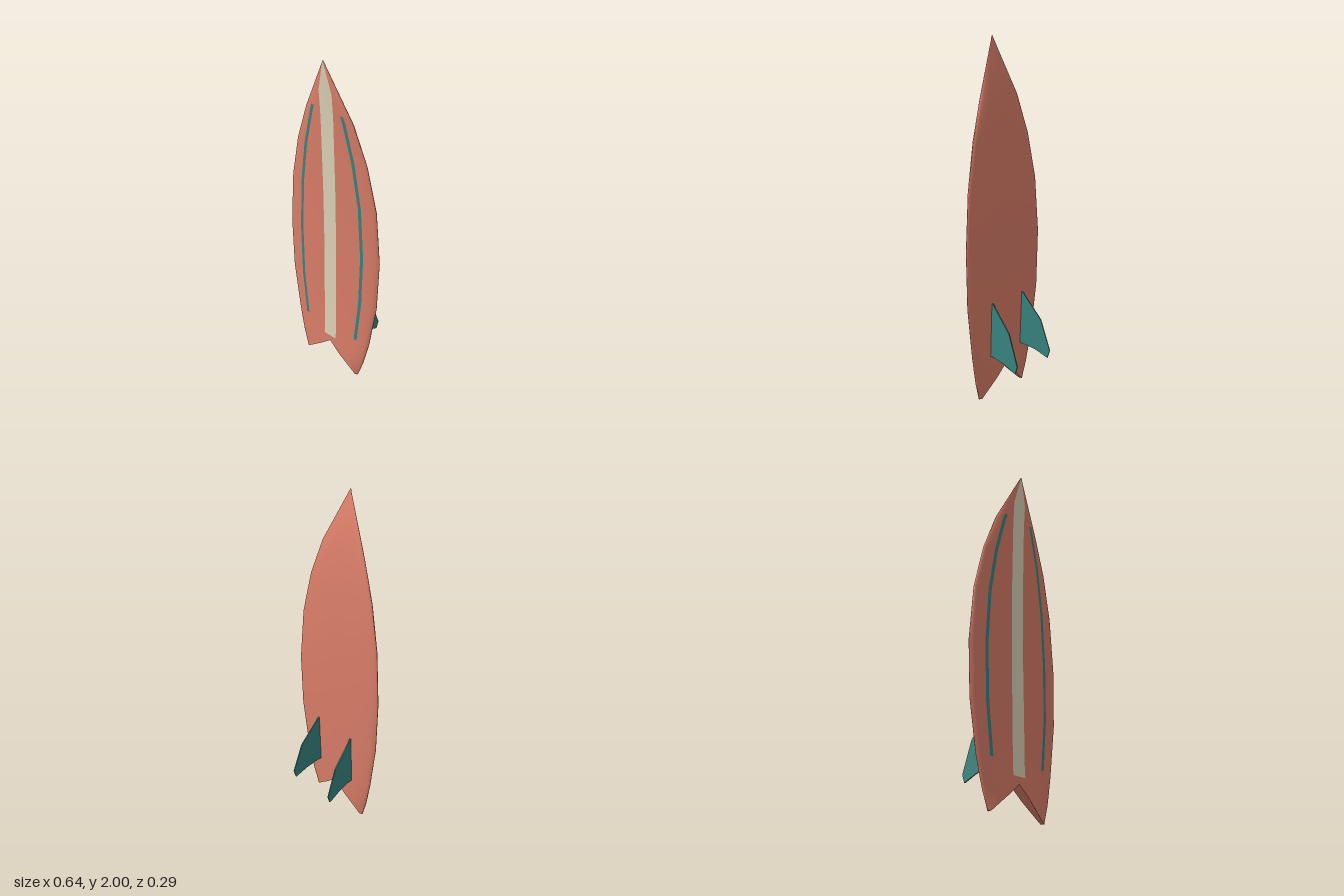
import * as THREE from 'three';
import { toCreasedNormals } from 'three/addons/utils/BufferGeometryUtils.js';

// Board stations from tail to nose: height, half width, rocker (centre z), half thickness
const STATIONS = [
  [0, 0.2, 0.09, 0.03],
  [0.1, 0.232, 0.085, 0.03],
  [0.165, 0.247, 0.082, 0.03],
  [0.27, 0.27, 0.077, 0.029],
  [0.56, 0.312, 0.071, 0.033],
  [0.88, 0.322, 0.068, 0.033],
  [1.2, 0.296, 0.072, 0.032],
  [1.46, 0.239, 0.083, 0.028],
  [1.68, 0.16, 0.098, 0.02],
  [2, 0.0005, 0.143, 0.0005],
];
const NOTCH_TOP = 0.165;
const NOTCH_HALF_WIDTH = 0.185;

function stationAt(y) {
  let i = 0;
  while (i < STATIONS.length - 2 && STATIONS[i + 1][0] < y) i++;
  const a = STATIONS[i], b = STATIONS[i + 1];
  const t = (y - a[0]) / (b[0] - a[0]);
  const [, hw, c, th] = a.map((v, k) => v + (b[k] - v) * t);
  return { hw, c, th };
}

// z of the elliptical section at (x, y); side is +1 for the deck, -1 for the bottom
function surfaceZ(x, y, side) {
  const { hw, c, th } = stationAt(y);
  return c + side * th * Math.sqrt(Math.max(0, 1 - (x / hw) ** 2));
}

function geometryFrom(positions) {
  const g = new THREE.BufferGeometry();
  g.setAttribute('position', new THREE.Float32BufferAttribute(positions, 3));
  return g;
}

// Both halves of the board, lofted through the stations and cut by the tail notch
function boardGeometry() {
  const M = 12, N = 2 * M;
  const pos = [];
  const tri = (a, b, c) => {
    pos.push(...a, ...b, ...c);
    for (const p of [a, c, b]) pos.push(-p[0], p[1], p[2]);
  };
  const quad = (a, b, c, d) => { tri(a, b, c); tri(a, c, d); };

  const rings = STATIONS.map(([y, hw]) => {
    const inner = NOTCH_HALF_WIDTH * Math.max(0, 1 - y / NOTCH_TOP);
    return Array.from({ length: N + 1 }, (_, j) => {
      const k = Math.min(j, N - j) / M;
      const x = inner + (hw - inner) * Math.sin(k * Math.PI / 2);
      return [x, y, surfaceZ(x, y, j <= M ? 1 : -1)];
    });
  });

  for (let i = 0; i < rings.length - 1; i++) {
    const p = rings[i], q = rings[i + 1];
    for (let j = 0; j < N; j++) quad(p[j], p[j + 1], q[j + 1], q[j]);
    // Wall of the notch
    if (STATIONS[i][0] < NOTCH_TOP) quad(p[N], p[0], q[0], q[N]);
  }
  // Tail tip caps
  const r = rings[0];
  for (let j = 0; j < M; j++) quad(r[j], r[N - j], r[N - j - 1], r[j + 1]);

  return toCreasedNormals(geometryFrom(pos), 1.2);
}

// Thin sheet following the deck between y0 and y1; edges(y) returns [left, right] x
function deckSheet(y0, y1, edges, columns, extraRows = []) {
  const ys = [y0, ...STATIONS.map((s) => s[0]), ...extraRows, y1]
    .filter((y) => y >= y0 && y <= y1).sort((a, b) => a - b);
  const rows = ys.map((y) => {
    const [l, r] = edges(y);
    return Array.from({ length: columns + 1 }, (_, j) => {
      const x = l + (r - l) * j / columns;
      return [x, y, surfaceZ(x, y, 1) + 0.003];
    });
  });
  const pos = [];
  for (let i = 0; i < rows.length - 1; i++) {
    for (let j = 0; j < columns; j++) {
      const a = rows[i][j], b = rows[i][j + 1], c = rows[i + 1][j + 1], d = rows[i + 1][j];
      pos.push(...a, ...b, ...c, ...a, ...c, ...d);
    }
  }
  return toCreasedNormals(geometryFrom(pos), 1);
}

// Flat fin plate: x is the depth behind the board, y the height
function finGeometry() {
  const outline = [
    [-0.03, 0.245], [0, 0.245], [0.085, 0.225], [0.165, 0.19],
    [0.18, 0.235], [0.12, 0.41], [0, 0.555], [-0.03, 0.565],
  ];
  const shape = new THREE.Shape(outline.map(([x, y]) => new THREE.Vector2(x, y)));
  const g = new THREE.ExtrudeGeometry(shape, { depth: 0.007, bevelEnabled: false });
  return g.translate(0, 0, -0.0035);
}

export function createModel() {
  const material = (name, color, side = THREE.FrontSide) => {
    const m = new THREE.MeshStandardMaterial({ color, side });
    m.name = name;
    return m;
  };
  const coral = material('coral', 0xd97d68);
  const cream = material('cream', 0xddd3b8, THREE.DoubleSide);
  const teal = material('teal', 0x378480, THREE.DoubleSide);

  const group = new THREE.Group();
  group.name = 'surfboard';
  const add = (name, geometry, mat) => {
    const mesh = new THREE.Mesh(geometry, mat);
    mesh.name = name;
    group.add(mesh);
    return mesh;
  };

  add('board', boardGeometry(), coral);

  // Centre stripe, narrowing with the nose
  const stripeEdges = (y) => {
    const w = Math.min(0.043, 0.48 * stationAt(y).hw);
    return [-w, w];
  };
  add('centreStripe', deckSheet(0.205, 1.995, stripeEdges, 4, [1.82]), cream);

  // Mirrored pinlines and fins
  const fin = finGeometry();
  for (const [label, s] of [['left', 1], ['right', -1]]) {
    const lineEdges = (y) => {
      const x = s * 0.68 * stationAt(y).hw;
      return [x - 0.01, x + 0.01];
    };
    add(`${label}Pinline`, deckSheet(0.275, 1.715, lineEdges, 1), teal);

    const mesh = add(`${label}Fin`, fin, teal);
    mesh.position.set(s * 0.137, 0, 0.035);
    mesh.rotation.y = Math.PI / 2 - s * 0.09;
  }
  return group;
}
